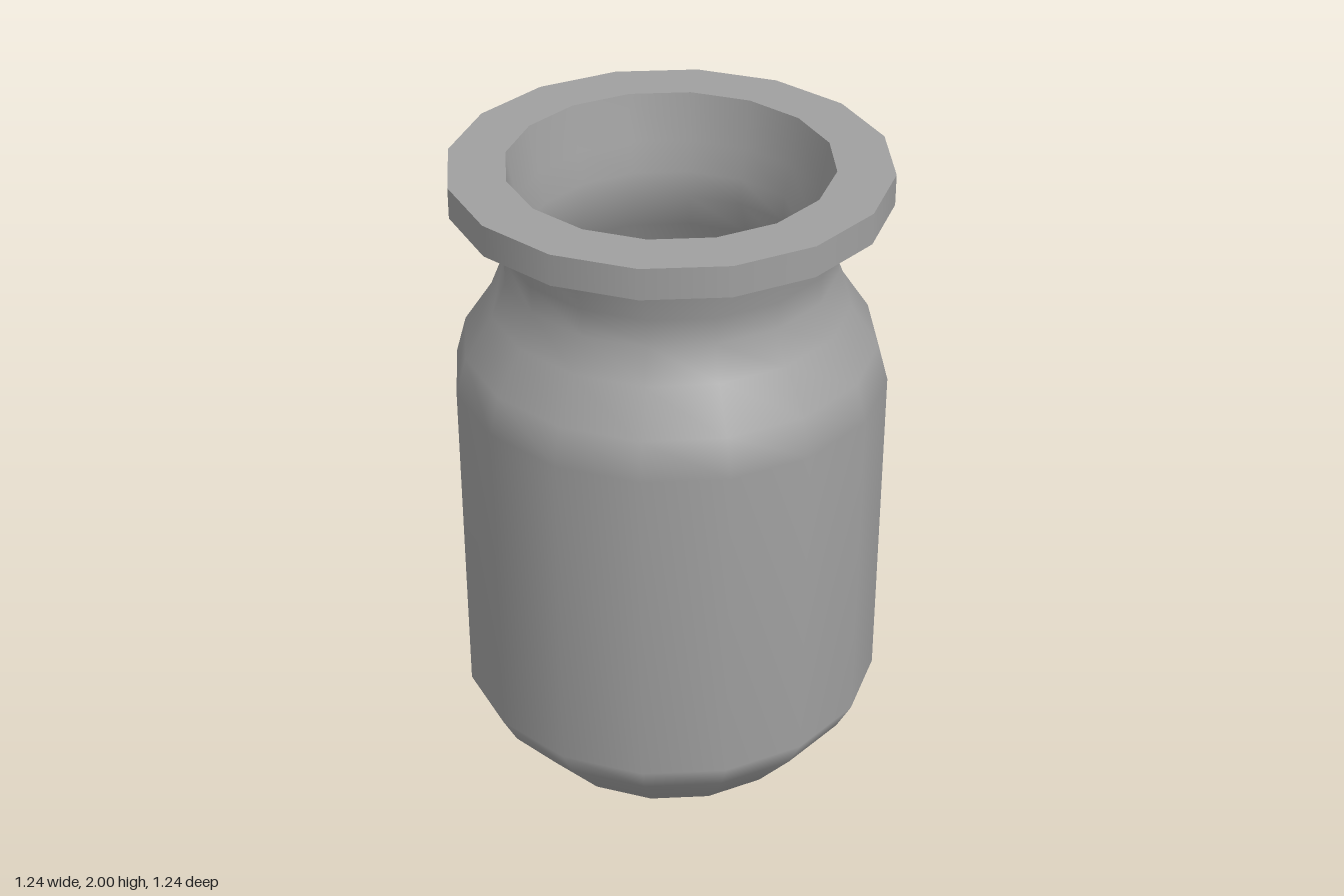
import * as THREE from 'three';

const SIDES = 16;

export function createModel() {
  const group = new THREE.Group();
  const grey = new THREE.MeshStandardMaterial({ color: 0xa0a0a0 });
  grey.name = 'grey';

  // Each strip is its own lathe, so it is smooth inside and sharp at its ends
  const strip = (name, points) => {
    const profile = points.map(([r, y]) => new THREE.Vector2(r, y));
    const mesh = new THREE.Mesh(new THREE.LatheGeometry(profile, SIDES), grey);
    mesh.name = name;
    group.add(mesh);
  };

  // Outer shell, from the foot up
  strip('base', [[0, 0], [0.255, 0]]);
  strip('body', [
    [0.255, 0], [0.44, 0.115], [0.575, 0.275], [0.62, 0.36],
    [0.62, 1.36], [0.59, 1.47], [0.51, 1.59], [0.47, 1.69],
    [0.47, 1.77], [0.51, 1.91],
  ]);

  // Flat flange around the mouth
  strip('rimUnderside', [[0.51, 1.91], [0.615, 1.91]]);
  strip('rimEdge', [[0.615, 1.91], [0.615, 2]]);
  strip('rimTop', [[0.615, 2], [0.455, 2]]);

  // Hollow inside, from the mouth down to the floor
  strip('innerWall', [
    [0.455, 2], [0.43, 1.86], [0.41, 1.77], [0.41, 1.69],
    [0.45, 1.58], [0.53, 1.45], [0.56, 1.35], [0.56, 0.37],
    [0.52, 0.29], [0.4, 0.15], [0.34, 0.12], [0, 0.12],
  ]);

  return group;
}
